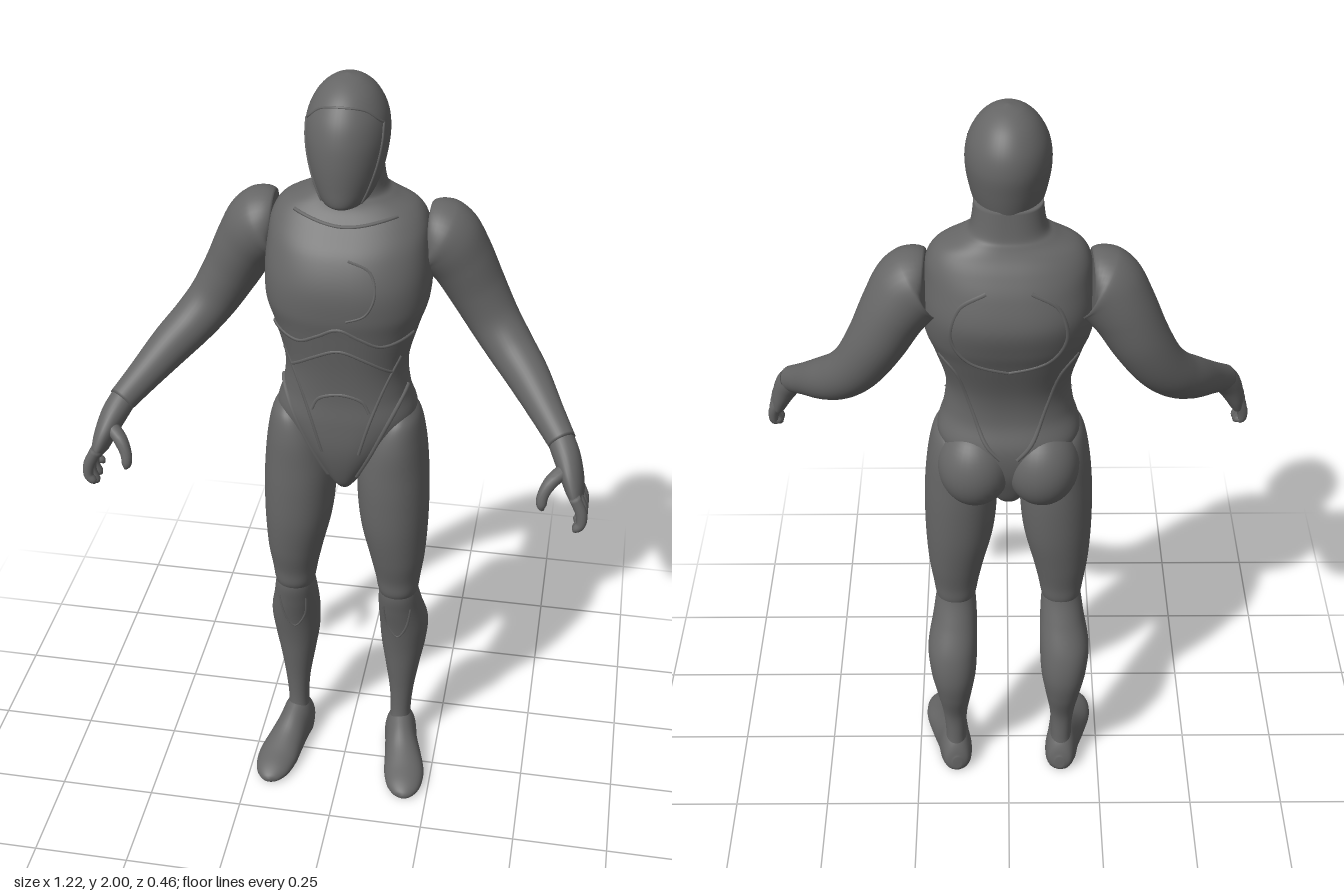
import * as THREE from 'three';

const V3 = (x, y, z) => new THREE.Vector3(x, y, z);
const bodyGrey = new THREE.MeshStandardMaterial({ color: 0x666666 });
bodyGrey.name = 'body grey';

// Smooth Catmull-Rom sampling of a table of rows at t in 0..1
function sample(rows, t) {
  const f = Math.min(t, 0.99999) * (rows.length - 1), i = Math.floor(f), u = f - i;
  const r = (k) => rows[Math.max(0, Math.min(rows.length - 1, k))];
  return rows[i].map((_, c) => {
    const a = r(i - 1)[c], b = r(i)[c], d = r(i + 1)[c], e = r(i + 2)[c];
    return b + 0.5 * u * (d - a + u * (2 * a - 5 * b + 4 * d - e + u * (3 * (b - d) + e - a)));
  });
}

// Skin closed rings of points, with both ends capped
function skin(rings) {
  const pos = [], idx = [], n = rings[0].length;
  rings.forEach((ring) => ring.forEach((p) => pos.push(p.x, p.y, p.z)));
  for (let i = 0; i < rings.length - 1; i++) {
    for (let j = 0; j < n; j++) {
      const a = i * n + j, b = i * n + (j + 1) % n;
      idx.push(a, a + n, b, b, a + n, b + n);
    }
  }
  [0, rings.length - 1].forEach((k) => {
    const mid = V3(0, 0, 0);
    rings[k].forEach((p) => mid.addScaledVector(p, 1 / n));
    const c = pos.length / 3;
    pos.push(mid.x, mid.y, mid.z);
    for (let j = 0; j < n; j++) {
      const a = k * n + j, b = k * n + (j + 1) % n;
      if (k) idx.push(c, b, a); else idx.push(c, a, b);
    }
  });
  const g = new THREE.BufferGeometry();
  g.setAttribute('position', new THREE.Float32BufferAttribute(pos, 3));
  g.setIndex(idx);
  g.computeVertexNormals();
  return g;
}

// Upright form from rows [y, centre x, half width, back z, front z], lowest first
function upright(rows, power = 2, steps = 64, sides = 48) {
  const rings = [];
  const sp = (v) => Math.sign(v) * Math.abs(v) ** (2 / power);
  for (let i = 0; i <= steps; i++) {
    const [y, cx, rx, z0, z1] = sample(rows, i / steps);
    rings.push(Array.from({ length: sides }, (_, j) => {
      const a = j / sides * Math.PI * 2;
      return V3(cx + rx * sp(Math.cos(a)), y, (z0 + z1) / 2 + (z1 - z0) / 2 * sp(Math.sin(a)));
    }));
  }
  return skin(rings);
}

// Limb along a path from rows [x, y, z, radius along ref, radius across]
function limb(rows, ref, steps = 32, sides = 28) {
  const rings = [];
  for (let i = 0; i <= steps; i++) {
    const t = i / steps, [x, y, z, ru, rv] = sample(rows, t);
    const a = sample(rows, Math.max(0, t - 0.02)), b = sample(rows, Math.min(1, t + 0.02));
    const T = V3(b[0] - a[0], b[1] - a[1], b[2] - a[2]).normalize();
    const U = ref.clone().addScaledVector(T, -ref.dot(T)).normalize();
    const W = U.clone().cross(T);
    rings.push(Array.from({ length: sides }, (_, j) => {
      const q = j / sides * Math.PI * 2;
      return V3(x, y, z).addScaledVector(U, ru * Math.cos(q)).addScaledVector(W, rv * Math.sin(q));
    }));
  }
  return skin(rings);
}

// Thin raised ridge following [x, y] points over the front (+1) or back (-1) of an upright form
function ridge(rows, power, side, pts, r = 0.006) {
  const curve = [];
  for (let i = 0; i <= 32; i++) {
    const [x, y] = sample(pts, i / 32);
    let lo = 0, hi = 1;
    for (let k = 0; k < 30; k++) {
      const m = (lo + hi) / 2;
      if (sample(rows, m)[0] < y) lo = m; else hi = m;
    }
    const [, cx, rx, z0, z1] = sample(rows, lo);
    const q = Math.max(0, 1 - Math.abs((x - cx) / rx) ** power) ** (1 / power);
    curve.push(V3(x, y, (z0 + z1) / 2 + side * ((z1 - z0) / 2 * q - r * 0.5)));
  }
  return new THREE.TubeGeometry(new THREE.CatmullRomCurve3(curve), 48, r, 6);
}

function mirrored(geo) {
  const g = geo.clone().scale(-1, 1, 1), ix = g.index;
  for (let i = 0; i < ix.count; i += 3) {
    const a = ix.getX(i);
    ix.setX(i, ix.getX(i + 1));
    ix.setX(i + 1, a);
  }
  g.computeVertexNormals();
  return g;
}

export function createModel() {
  const model = new THREE.Group();
  model.name = 'humanoidFigure';
  const add = (name, geo) => {
    const m = new THREE.Mesh(geo, bodyGrey);
    m.name = name;
    model.add(m);
  };
  const pair = (name, geo) => { add(name + 'Left', geo); add(name + 'Right', mirrored(geo)); };

  // Torso, from crotch to neck base
  const torso = [
    [0.935, 0, 0.02, -0.07, 0.02], [0.96, 0, 0.04, -0.11, 0.04], [1.02, 0, 0.085, -0.14, 0.062],
    [1.08, 0, 0.13, -0.16, 0.074], [1.15, 0, 0.172, -0.165, 0.076], [1.22, 0, 0.156, -0.145, 0.073],
    [1.3, 0, 0.15, -0.152, 0.08], [1.4, 0, 0.176, -0.188, 0.097], [1.46, 0, 0.195, -0.212, 0.107],
    [1.53, 0, 0.198, -0.229, 0.105], [1.6, 0, 0.192, -0.214, 0.076], [1.65, 0, 0.184, -0.192, 0.035],
    [1.685, 0, 0.16, -0.172, 0.006], [1.71, 0, 0.11, -0.16, -0.006], [1.73, 0, 0.086, -0.153, -0.008],
    [1.79, 0, 0.077, -0.145, 0],
  ];
  add('torso', upright(torso, 2.4, 96, 64));

  // Chest, abdomen and hip ridges
  add('ribArch', ridge(torso, 2.4, 1, [[-0.165, 1.4], [-0.1, 1.385], [-0.05, 1.41], [0, 1.435],
    [0.05, 1.41], [0.1, 1.385], [0.165, 1.4]]));
  add('upperBellyArch', ridge(torso, 2.4, 1, [[-0.12, 1.3], [-0.06, 1.345], [0, 1.37], [0.06, 1.345], [0.12, 1.3]], 0.005));
  add('lowerBellyArch', ridge(torso, 2.4, 1, [[-0.07, 1.19], [-0.05, 1.225], [0, 1.24], [0.05, 1.225], [0.07, 1.19]], 0.005));
  add('collar', ridge(torso, 2.4, 1, [[-0.12, 1.68], [-0.05, 1.665], [0, 1.66], [0.05, 1.665], [0.12, 1.68]], 0.005));
  add('chestRing', ridge(torso, 2.4, 1, [[0.02, 1.6], [0.07, 1.58], [0.085, 1.53], [0.065, 1.48], [0.02, 1.46]], 0.004));
  pair('hipRidge', ridge(torso, 2.4, 1, [[0.152, 1.235], [0.11, 1.15], [0.07, 1.06], [0.035, 0.985]], 0.007));
  pair('sideRidge', ridge(torso, 2.4, 1, [[0.14, 1.34], [0.105, 1.26], [0.07, 1.16], [0.045, 1.07]], 0.005));
  pair('backRidge', ridge(torso, 2.4, -1, [[0.16, 1.42], [0.12, 1.37], [0.09, 1.27], [0.06, 1.18], [0.02, 1.13]], 0.006));
  pair('shoulderBladeRidge', ridge(torso, 2.4, -1, [[0.05, 1.62], [0.11, 1.58], [0.13, 1.5], [0.09, 1.43], [0, 1.4]], 0.006));

  // Buttocks
  const seat = new THREE.SphereGeometry(1, 32, 24);
  seat.scale(0.092, 0.112, 0.098);
  seat.translate(0.082, 1.075, -0.098);
  pair('buttock', seat);

  // Helmet-like head with smooth mask
  const head = [
    [1.722, 0, 0.035, -0.09, 0.06], [1.732, 0, 0.058, -0.125, 0.08], [1.775, 0, 0.079, -0.143, 0.085],
    [1.83, 0, 0.092, -0.158, 0.086], [1.88, 0, 0.096, -0.166, 0.08], [1.925, 0, 0.088, -0.158, 0.064],
    [1.965, 0, 0.066, -0.132, 0.034], [1.99, 0, 0.036, -0.095, -0.005], [2, 0, 0.003, -0.053, -0.047],
  ];
  add('head', upright(head, 2, 64, 48));
  pair('maskEdge', ridge(head, 2, 1, [[0.086, 1.91], [0.085, 1.87], [0.076, 1.82], [0.06, 1.77], [0.045, 1.735]], 0.004));
  add('browLine', ridge(head, 2, 1, [[-0.086, 1.91], [-0.05, 1.945], [0, 1.955], [0.05, 1.945], [0.086, 1.91]], 0.003));

  // Legs
  const thigh = [
    [0.575, 0.138, 0.045, -0.075, 0.012], [0.605, 0.138, 0.053, -0.09, 0.03], [0.65, 0.137, 0.06, -0.097, 0.037],
    [0.72, 0.134, 0.072, -0.113, 0.055], [0.82, 0.125, 0.086, -0.132, 0.071], [0.92, 0.12, 0.091, -0.142, 0.075],
    [1.0, 0.119, 0.088, -0.145, 0.073], [1.08, 0.124, 0.074, -0.142, 0.068], [1.14, 0.134, 0.05, -0.12, 0.05],
    [1.17, 0.142, 0.02, -0.08, 0.015],
  ];
  pair('thigh', upright(thigh, 2.1));
  const shin = [
    [0.06, 0.147, 0.032, -0.12, -0.035], [0.12, 0.146, 0.028, -0.117, -0.047], [0.2, 0.147, 0.033, -0.122, -0.045],
    [0.29, 0.147, 0.047, -0.152, -0.035], [0.37, 0.148, 0.06, -0.167, -0.025], [0.45, 0.149, 0.065, -0.156, -0.009],
    [0.53, 0.142, 0.058, -0.118, 0.012], [0.59, 0.139, 0.051, -0.092, 0.025], [0.64, 0.138, 0.04, -0.08, 0.02],
  ];
  pair('lowerLeg', upright(shin, 2.1));
  pair('kneeRidge', ridge(shin, 2.1, 1, [[0.105, 0.55], [0.112, 0.48], [0.14, 0.435], [0.165, 0.48], [0.176, 0.55]], 0.004));

  // Feet, pressed flat at the sole
  const foot = limb([
    [0.143, 0.035, -0.134, 0.012, 0.02], [0.144, 0.035, -0.122, 0.034, 0.045], [0.147, 0.038, -0.085, 0.044, 0.085],
    [0.155, 0.035, -0.04, 0.045, 0.075], [0.168, 0.026, 0.015, 0.051, 0.054], [0.179, 0.02, 0.07, 0.055, 0.038],
    [0.185, 0.016, 0.12, 0.046, 0.027], [0.187, 0.013, 0.15, 0.026, 0.015], [0.187, 0.012, 0.16, 0.005, 0.005],
  ], V3(1, 0, 0), 40, 36);
  const fp = foot.attributes.position;
  for (let i = 0; i < fp.count; i++) fp.setY(i, Math.max(0, fp.getY(i)));
  foot.computeVertexNormals();
  pair('foot', foot);

  // Arms, from shoulder cap to wrist
  pair('arm', limb([
    [0.188, 1.6, -0.112, 0.07, 0.068], [0.2, 1.598, -0.112, 0.09, 0.087], [0.225, 1.58, -0.115, 0.091, 0.088],
    [0.26, 1.53, -0.122, 0.085, 0.078], [0.3, 1.455, -0.125, 0.075, 0.07], [0.345, 1.38, -0.113, 0.063, 0.063],
    [0.39, 1.325, -0.082, 0.058, 0.058], [0.44, 1.278, -0.03, 0.052, 0.052], [0.495, 1.225, 0.043, 0.04, 0.041],
    [0.537, 1.185, 0.1, 0.033, 0.034],
  ], V3(0, 0, 1), 64, 36));

  // Hands: palm, four fingers and thumb
  const along = V3(0, 0, 1);
  pair('palm', limb([
    [0.53, 1.192, 0.09, 0.032, 0.032], [0.55, 1.16, 0.118, 0.04, 0.032], [0.568, 1.12, 0.145, 0.05, 0.027],
    [0.58, 1.085, 0.162, 0.05, 0.02], [0.582, 1.072, 0.165, 0.042, 0.012],
  ], along, 24));
  for (let k = 0; k < 4; k++) {
    const z = 0.127 + 0.026 * k, tip = [1.02, 1.004, 0.998, 1.012][k];
    pair('finger' + (k + 1), limb([
      [0.578, 1.1, z, 0.014, 0.014], [0.596, 1.065, z + 0.005, 0.0135, 0.014],
      [0.599, 1.035, z + 0.009, 0.012, 0.012], [0.588, tip + 0.008, z + 0.011, 0.01, 0.01],
      [0.583, tip, z + 0.011, 0.003, 0.003],
    ], along, 16, 12));
  }
  pair('thumb', limb([
    [0.555, 1.145, 0.15, 0.018, 0.018], [0.523, 1.125, 0.178, 0.018, 0.017], [0.505, 1.095, 0.196, 0.014, 0.014],
    [0.503, 1.07, 0.204, 0.012, 0.012], [0.507, 1.057, 0.207, 0.003, 0.003],
  ], along, 16, 12));

  return model;
}
